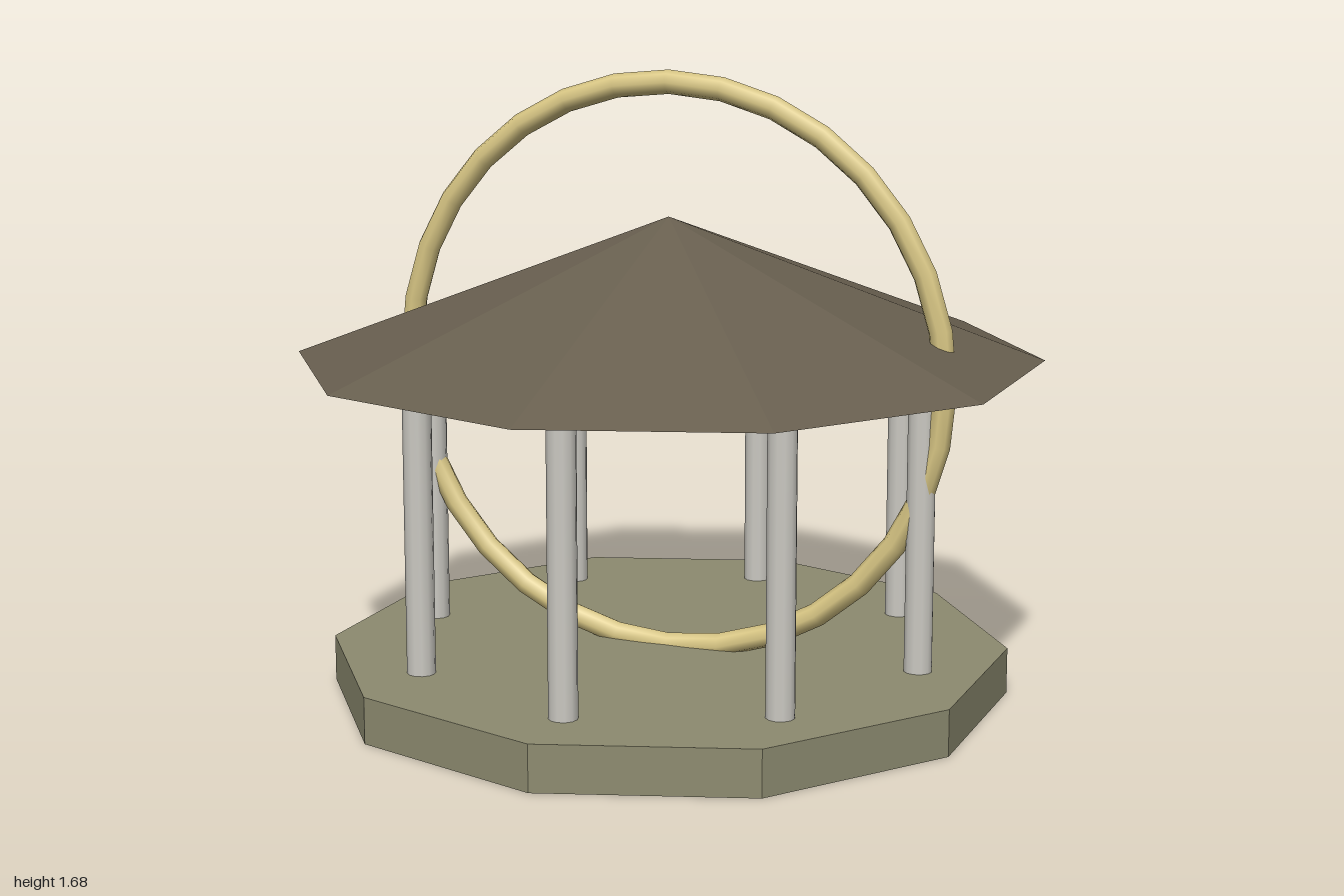
import * as THREE from 'three';

const mat = (name, color, flatShading = false) => {
  const m = new THREE.MeshStandardMaterial({ color, flatShading });
  m.name = name;
  return m;
};

export function createModel() {
  const group = new THREE.Group();
  const stone = mat('olive stone', 0x8d8b70, true);
  const roofing = mat('dark brown roofing', 0x685f4f, true);
  const pale = mat('pale grey', 0xcbc9c2);
  const gold = mat('soft gold', 0xd8c684);

  const add = (name, geometry, material, x, y, z) => {
    const mesh = new THREE.Mesh(geometry, material);
    mesh.name = name;
    mesh.position.set(x, y, z);
    group.add(mesh);
    return mesh;
  };

  // Ten-sided platform and roof, corners pointing along z
  add('platform', new THREE.CylinderGeometry(0.92, 0.92, 0.125, 10), stone, 0, 0.0625, 0);
  add('roof', new THREE.ConeGeometry(1, 0.375, 10), roofing, 0, 0.92 + 0.1875, 0);

  // Eight columns in a circle
  const columnGeometry = new THREE.CylinderGeometry(0.038, 0.038, 0.805, 12);
  for (let i = 0; i < 8; i++) {
    const a = (i / 8) * Math.PI * 2;
    add('column' + (i + 1), columnGeometry, pale, 0.707 * Math.sin(a), 0.5225, 0.707 * Math.cos(a));
  }

  // Upright ring passing through the roof and resting in the platform
  add('ring', new THREE.TorusGeometry(0.766, 0.032, 8, 32), gold, 0, 0.885, 0);

  return group;
}
